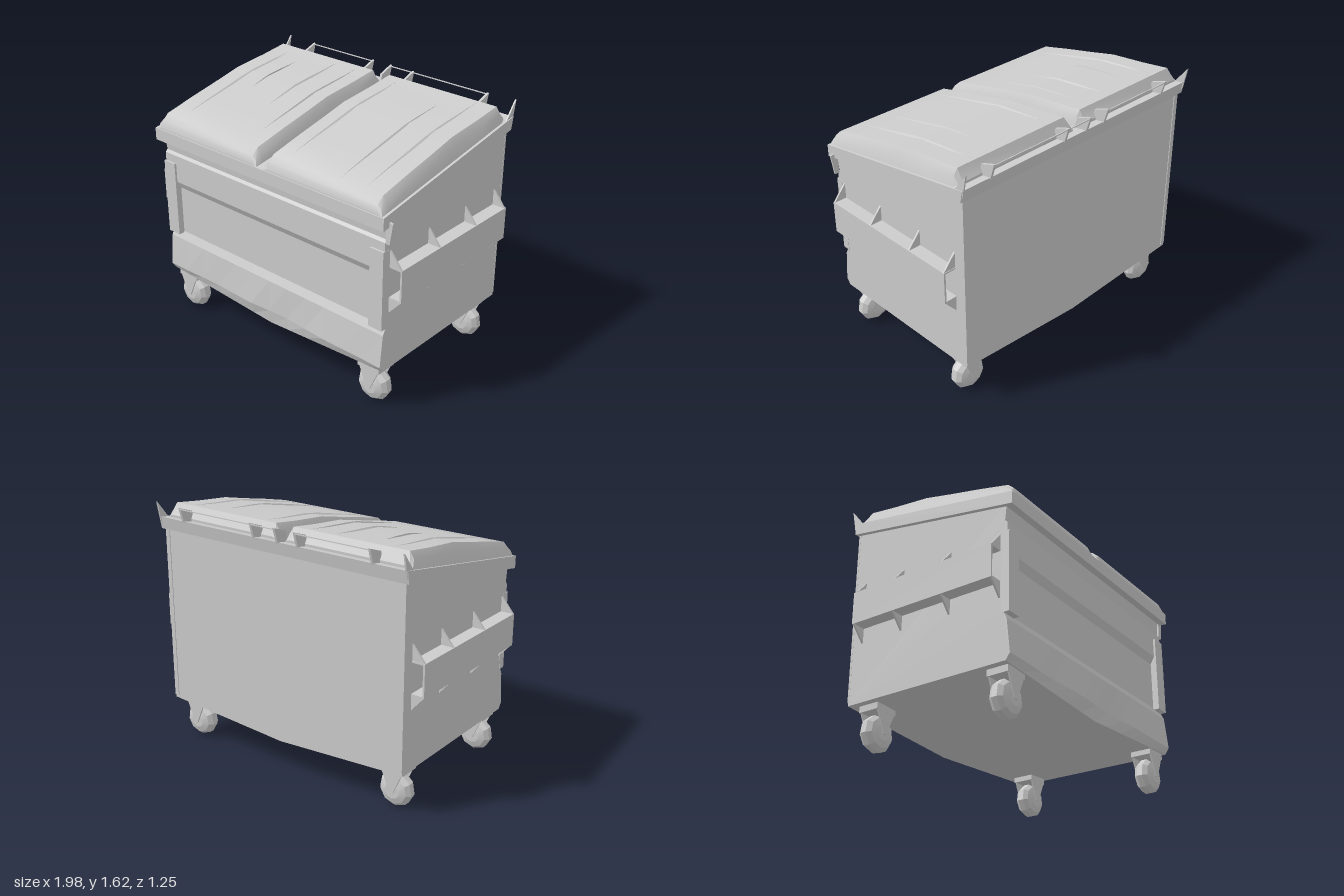
import * as THREE from 'three';
import { toCreasedNormals } from 'three/addons/utils/BufferGeometryUtils.js';

const material = new THREE.MeshStandardMaterial({ color: 0xcccccc, side: THREE.DoubleSide });

export function createModel() {
  const root = new THREE.Group();

  const add = (name, geometry, x = 0, y = 0, z = 0, parent = root) => {
    const mesh = new THREE.Mesh(geometry, material);
    mesh.name = name;
    mesh.position.set(x, y, z);
    parent.add(mesh);
    return mesh;
  };
  const box = (name, x0, x1, y0, y1, z0, z1) =>
    add(name, new THREE.BoxGeometry(x1 - x0, y1 - y0, z1 - z0),
      (x0 + x1) / 2, (y0 + y1) / 2, (z0 + z1) / 2);
  const shape = (pts) => new THREE.Shape(pts.map(([a, b]) => new THREE.Vector2(a, b)));
  // Outline in x,y given thickness along z
  const plate = (pts, depth) =>
    new THREE.ExtrudeGeometry(shape(pts), { depth, bevelEnabled: false }).translate(0, 0, -depth / 2);
  // Outline in z,y stretched along x
  const prism = (pts, x0, x1, steps = 1) =>
    new THREE.ExtrudeGeometry(shape(pts), { depth: x1 - x0, steps, bevelEnabled: false })
      .rotateY(-Math.PI / 2).translate(x1, 0, 0);

  // Body: stepped front panels, sloping top, sagging floor and dented lower front
  const body = prism([
    [-0.56, 0.28], [0.57, 0.28], [0.597, 0.32], [0.575, 0.53], [0.55, 0.58], [0.55, 0.9],
    [0.578, 0.95], [0.578, 1.135], [0.562, 1.15], [0.575, 1.27], [-0.56, 1.47],
  ], -0.905, 0.905, 12);
  const p = body.attributes.position;
  for (let i = 0; i < p.count; i++) {
    const x = p.getX(i), y = p.getY(i), z = p.getZ(i);
    if (y < 0.3) {
      p.setY(i, y - 0.055 * (1 - Math.abs(x) / 0.905));
    } else if (y < 0.5 && z > 0.5) {
      p.setZ(i, z - 0.012 * (1 + Math.sin(x * 9)) * (1 - Math.abs(x) / 0.905));
    }
  }
  body.computeVertexNormals();
  add('body', body);

  // Sloping rim around the top
  add('rim', prism([[0.625, 1.23], [0.625, 1.31], [-0.59, 1.52], [-0.575, 1.44]], -0.93, 0.93));

  // Lids: chamfered cross-sections from front to back
  const baseY = (z) => 1.312 + (0.62 - z) * 0.173;
  const stations = [[0.62, 1.325], [0.605, 1.365], [0.56, 1.405], [0.35, 1.455], [0.13, 1.503],
    [-0.05, 1.545], [-0.3, 1.572], [-0.49, 1.598], [-0.53, 1.525]];
  const topY = (z) => {
    const i = Math.max(1, stations.findIndex((s) => s[0] <= z));
    const [a, b] = [stations[i - 1], stations[i]];
    return THREE.MathUtils.lerp(a[1], b[1], (z - a[0]) / (b[0] - a[0]));
  };
  const lid = (x0, x1) => {
    const pos = [], index = [], n = 6;
    for (const [z, top] of stations) {
      const b = baseY(z) - 0.005;
      const h = top - b;
      for (const [x, k] of [[x0, 0], [x0 + 0.018, 0.6], [x0 + 0.045, 1],
        [x1 - 0.045, 1], [x1 - 0.018, 0.6], [x1, 0]]) pos.push(x, b + h * k, z);
    }
    for (let s = 0; s < stations.length - 1; s++) {
      for (let k = 0; k < n; k++) {
        const a = s * n + k, b = s * n + (k + 1) % n;
        index.push(a, b, a + n, b, b + n, a + n);
      }
    }
    const last = (stations.length - 1) * n;
    for (let k = 1; k < n - 1; k++) index.push(0, k + 1, k, last, last + k, last + k + 1);
    const g = new THREE.BufferGeometry();
    g.setAttribute('position', new THREE.Float32BufferAttribute(pos, 3));
    g.setIndex(index);
    return toCreasedNormals(g, 0.5);
  };
  add('rightLid', lid(-0.92, -0.03));
  add('leftLid', lid(0.015, 0.915));

  // Slim tapering ribs pressed into the lids
  const rib = (x, z0, z1, w) => {
    const pos = [], index = [], steps = 8;
    for (let i = 0; i <= steps; i++) {
      const t = i / steps, z = z0 + (z1 - z0) * t, s = Math.sin(Math.PI * t), y = topY(z);
      pos.push(x - w * s, y - 0.002, z, x, y + 0.009 * s, z, x + w * s, y - 0.002, z);
      if (i < steps) {
        for (const a of [i * 3, i * 3 + 1]) index.push(a, a + 3, a + 1, a + 1, a + 3, a + 4);
      }
    }
    const g = new THREE.BufferGeometry();
    g.setAttribute('position', new THREE.Float32BufferAttribute(pos, 3));
    g.setIndex(index);
    return toCreasedNormals(g, 0.2);
  };
  for (const [x, z0, z1, w] of [[-0.75, -0.45, 0.5, 0.012], [-0.6, -0.32, 0.08, 0.004],
    [-0.35, -0.45, 0.18, 0.01], [-0.18, -0.46, 0.42, 0.007], [0.16, -0.45, 0.5, 0.012],
    [0.56, -0.34, 0.54, 0.009], [0.74, -0.48, 0.54, 0.012]]) add('lidRib', rib(x, z0, z1, w));

  // Hinge rods and tabs behind the lids
  for (const [x0, x1] of [[-0.7, -0.18], [-0.03, 0.72]]) {
    box('hingeRod', x0, x1, 1.598, 1.604, -0.618, -0.612);
  }
  const tab = [[-0.5, 1.505], [-0.52, 1.575], [-0.62, 1.61], [-0.59, 1.51]];
  for (const x of [-0.7, -0.18, -0.03, 0.15, 0.72]) add('hingeTab', prism(tab, x - 0.008, x + 0.008));

  for (const s of [-1, 1]) {
    const span = (a, b) => (s > 0 ? [a, b] : [-b, -a]);

    // Pointed ear at the rear corner of the rim
    add('rimEar', prism([[-0.52, 1.5], [-0.615, 1.62], [-0.585, 1.47]], ...span(0.915, 0.925)));

    // Front corner posts and rear corner strips
    box('frontPost', ...span(0.81, 0.907), 0.57, 1.08, 0.54, 0.592);
    box('rearStrip', ...span(0.875, 0.906), 0.3, 1.46, -0.565, -0.55);

    // Open side channel that takes the lifting forks
    box('channelFace', ...span(0.98, 0.992), 0.76, 0.97, -0.49, 0.53);
    for (const y of [0.76, 0.96]) box('channelFlange', ...span(0.9, 0.985), y, y + 0.01, -0.49, 0.53);

    // Triangular gussets above and below the channel
    for (const z of [0.525, 0.175, -0.18, -0.48]) {
      add('upperGusset', plate([[s * 0.9, 0.965], [s * 0.992, 0.965], [s * 0.9, 1.075]], 0.012), 0, 0, z);
      add('lowerGusset', plate([[s * 0.9, 0.765], [s * 0.992, 0.765], [s * 0.9, 0.66]], 0.012), 0, 0, z);
    }

    // Casters
    for (const z of [0.49, -0.43]) {
      const caster = new THREE.Group();
      caster.name = 'caster';
      caster.position.set(s * 0.79, 0, z);
      root.add(caster);
      const profile = [[0, -0.06], [0.05, -0.06], [0.09, -0.045], [0.112, -0.018],
        [0.112, 0.018], [0.09, 0.045], [0.05, 0.06], [0, 0.06]];
      const tyre = new THREE.LatheGeometry(profile.map(([r, y]) => new THREE.Vector2(r, y)), 9)
        .rotateX(Math.PI / 2);
      add('wheel', toCreasedNormals(tyre, 0.3), 0, 0.112, 0, caster);
      add('casterPlate', new THREE.BoxGeometry(0.16, 0.04, 0.14), 0, 0.255, 0, caster);
      for (const side of [-1, 1]) {
        add('casterFork', plate([[-0.08, 0.26], [0.08, 0.26], [0.01, 0.1], [-0.01, 0.1]], 0.01),
          0, 0, side * 0.064, caster);
      }
    }
  }

  // Latch hook under the front left corner of the rim
  add('latchHook', plate([[0.91, 1.27], [0.955, 1.265], [0.935, 1.13], [0.905, 1.13]], 0.012), 0, 0, 0.57);

  return root;
}
